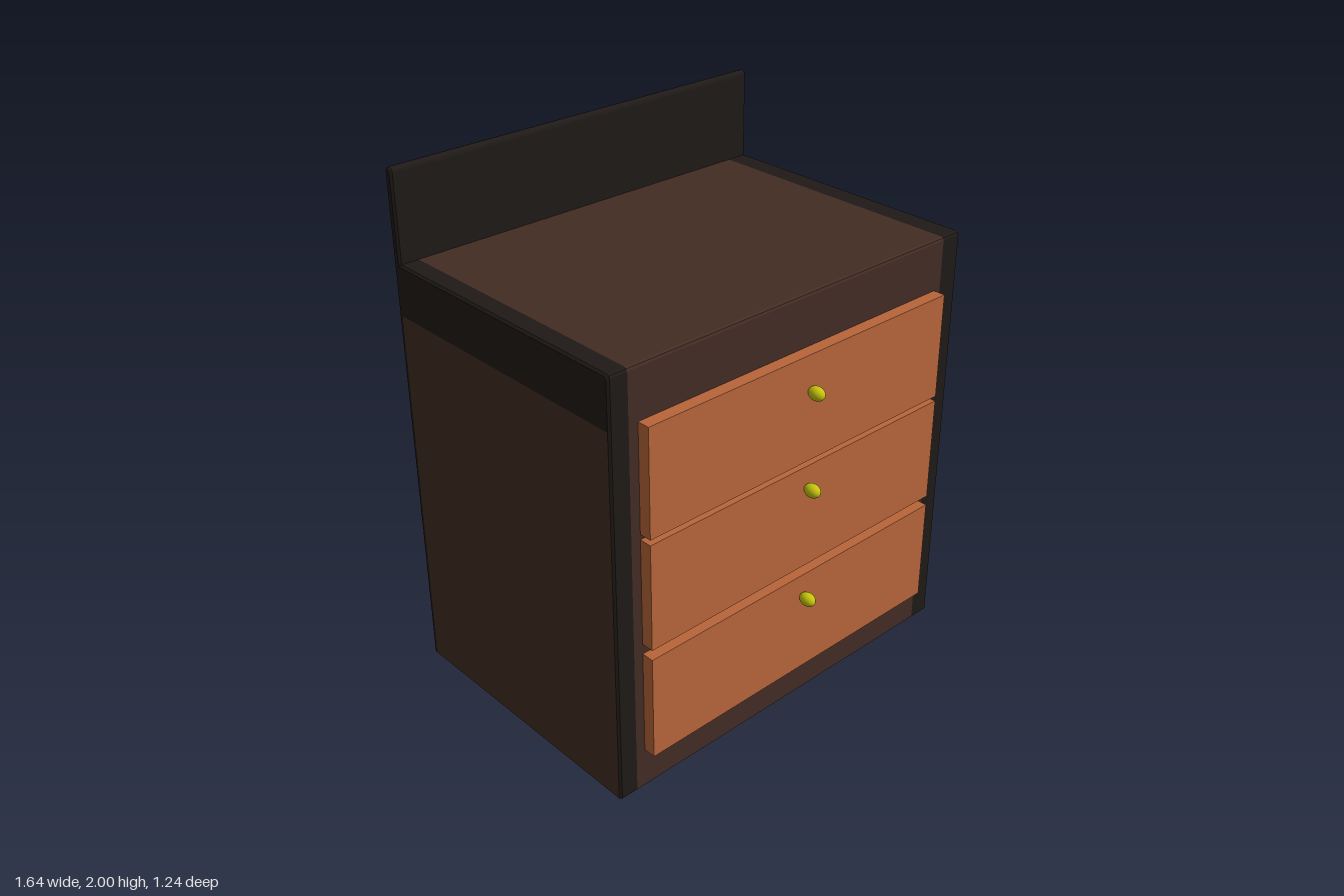
import * as THREE from 'three';

const mat = (color) => new THREE.MeshStandardMaterial({ color, side: THREE.DoubleSide });
const HALF = 0.818, BEVEL = 0.008, TOP = 1.655, SIDE_TOP = 1.46;

// Side outline as [z, y], from front foot over the top and backboard to back foot
function outline(d) {
  const f = 0.51 - d, b = -0.62 + d, t = TOP - d, s = -0.585 - d, r = (s - b) / 2;
  const pts = [[f, 0], [f, t - 0.012], [f - 0.004, t - 0.004], [f - 0.012, t], [s, t]];
  for (let i = 0; i <= 6; i++) {
    const a = (i / 6) * Math.PI;
    pts.push([b + r + r * Math.cos(a), 2 - d - r + r * Math.sin(a)]);
  }
  pts.push([b, TOP], [b, 0]);
  return pts;
}

// Surface between two matching outlines placed at x0 and x1
function strip(x0, p, x1, q) {
  const v = [];
  for (let i = 0; i < p.length - 1; i++) {
    const a = [x0, p[i][1], p[i][0]], b = [x1, q[i][1], q[i][0]];
    const c = [x1, q[i + 1][1], q[i + 1][0]], d = [x0, p[i + 1][1], p[i + 1][0]];
    v.push(...a, ...b, ...c, ...a, ...c, ...d);
  }
  const g = new THREE.BufferGeometry();
  g.setAttribute('position', new THREE.Float32BufferAttribute(v, 3));
  g.computeVertexNormals();
  return g;
}

// Flat side panel from [z, y] points, facing outward on the given side
function sidePanel(pts, side) {
  const shape = new THREE.Shape(pts.map(([z, y]) => new THREE.Vector2(-side * z, y)));
  return new THREE.ShapeGeometry(shape).rotateY(side * Math.PI / 2).translate(side * HALF, 0, 0);
}

export function createModel() {
  const group = new THREE.Group();
  const brown = mat(0x432c24), black = mat(0x1f1a17), orange = mat(0xb8653a), yellow = mat(0xc4c40c);
  const add = (name, geometry, material) => {
    const mesh = new THREE.Mesh(geometry, material);
    mesh.name = name;
    group.add(mesh);
    return mesh;
  };

  const full = outline(0), inset = outline(BEVEL);
  const xl = -0.742, xr = 0.728, edge = HALF - BEVEL;

  // Centre band: brown front, top and back with a black backboard
  add('frontAndTop', strip(xl, full.slice(0, 5), xr, full.slice(0, 5)), brown);
  add('backboard', strip(xl, full.slice(4, -1), xr, full.slice(4, -1)), black);
  add('backPanel', strip(xl, full.slice(-2), xr, full.slice(-2)), brown);

  // Black frame bands and softened outer edges
  add('rightFrame', strip(-edge, full, xl, full), black);
  add('leftFrame', strip(xr, full, edge, full), black);
  add('rightFrameEdge', strip(-HALF, inset, -edge, full), black);
  add('leftFrameEdge', strip(edge, full, HALF, inset), black);

  // Sides: brown panel below a black border; the underside stays open
  const front = inset[0][0], back = -0.6;
  for (const side of [-1, 1]) {
    const label = side > 0 ? 'left' : 'right';
    add(label + 'SidePanel', sidePanel([[front, 0], [front, SIDE_TOP], [back, SIDE_TOP], [back, 0]], side), brown);
    add(label + 'SideBorder',
      sidePanel([[front, SIDE_TOP], ...inset.slice(1), [back, 0], [back, SIDE_TOP]], side), black);
  }

  // Drawers with egg-shaped knobs: [bottom, top, knob height]
  [[0.16, 0.575, 0.485], [0.615, 1.03, 0.945], [1.05, 1.46, 1.325]].forEach(([y0, y1, ky], i) => {
    add('drawer' + (i + 1), new THREE.BoxGeometry(1.4, y1 - y0, 0.048), orange)
      .position.set(-0.006, (y0 + y1) / 2, 0.536);
    const knob = add('knob' + (i + 1), new THREE.SphereGeometry(1, 20, 14), yellow);
    knob.scale.set(0.024, 0.026, 0.034);
    knob.position.set(0.008, ky, 0.59);
  });

  return group;
}
